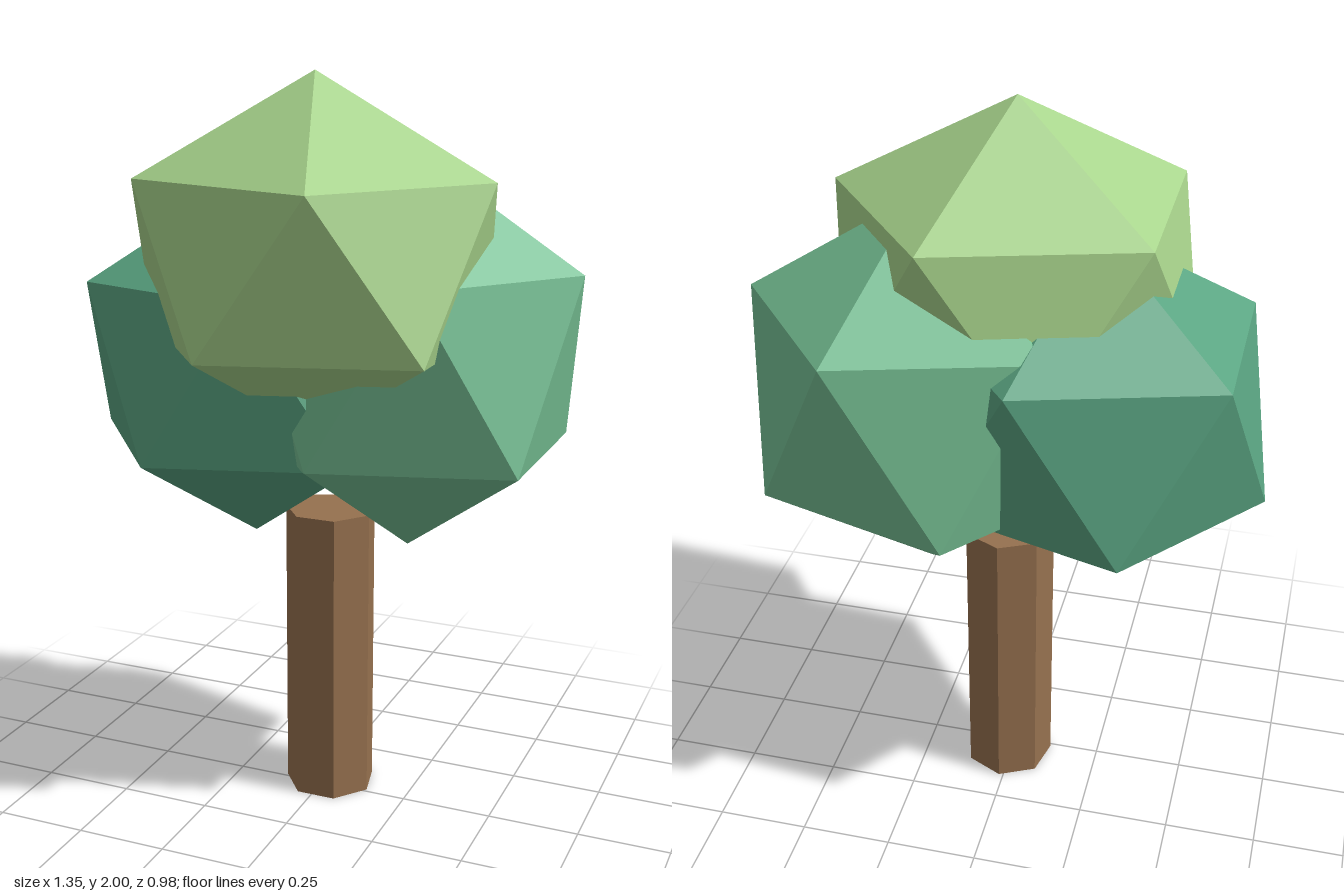
import * as THREE from 'three';

// Low-poly mesh with flat facets
function addPart(group, name, geometry, color, position) {
  const material = new THREE.MeshStandardMaterial({ color, flatShading: true });
  const mesh = new THREE.Mesh(geometry, material);
  mesh.name = name;
  mesh.position.set(...position);
  group.add(mesh);
}

// Stretched icosahedron standing on a corner, one upper corner towards +x
function foliage(rx, ry, rz) {
  return new THREE.IcosahedronGeometry(1, 0)
    .rotateZ(-Math.atan(2 / (1 + Math.sqrt(5))))
    .scale(rx, ry, rz);
}

export function createModel() {
  const tree = new THREE.Group();
  tree.name = 'tree';

  // Seven-sided trunk, flat side to the front
  const trunkHeight = 0.825;
  addPart(tree, 'trunk',
    new THREE.CylinderGeometry(0.1256, 0.1256, trunkHeight, 7, 1, false, Math.PI),
    0x96714f, [0.0125, trunkHeight / 2, -0.038]);

  // Three overlapping clumps of leaves
  addPart(tree, 'topFoliage', foliage(0.534, 0.467, 0.485), 0xa8d48c, [0.013, 1.533, 0.073]);
  addPart(tree, 'rightFoliage', foliage(0.514, 0.4975, 0.466), 0x5aa582, [-0.215, 1.2275, -0.04]);
  addPart(tree, 'leftFoliage', foliage(0.514, 0.536, 0.46), 0x76c094, [0.215, 1.262, -0.099]);

  return tree;
}
